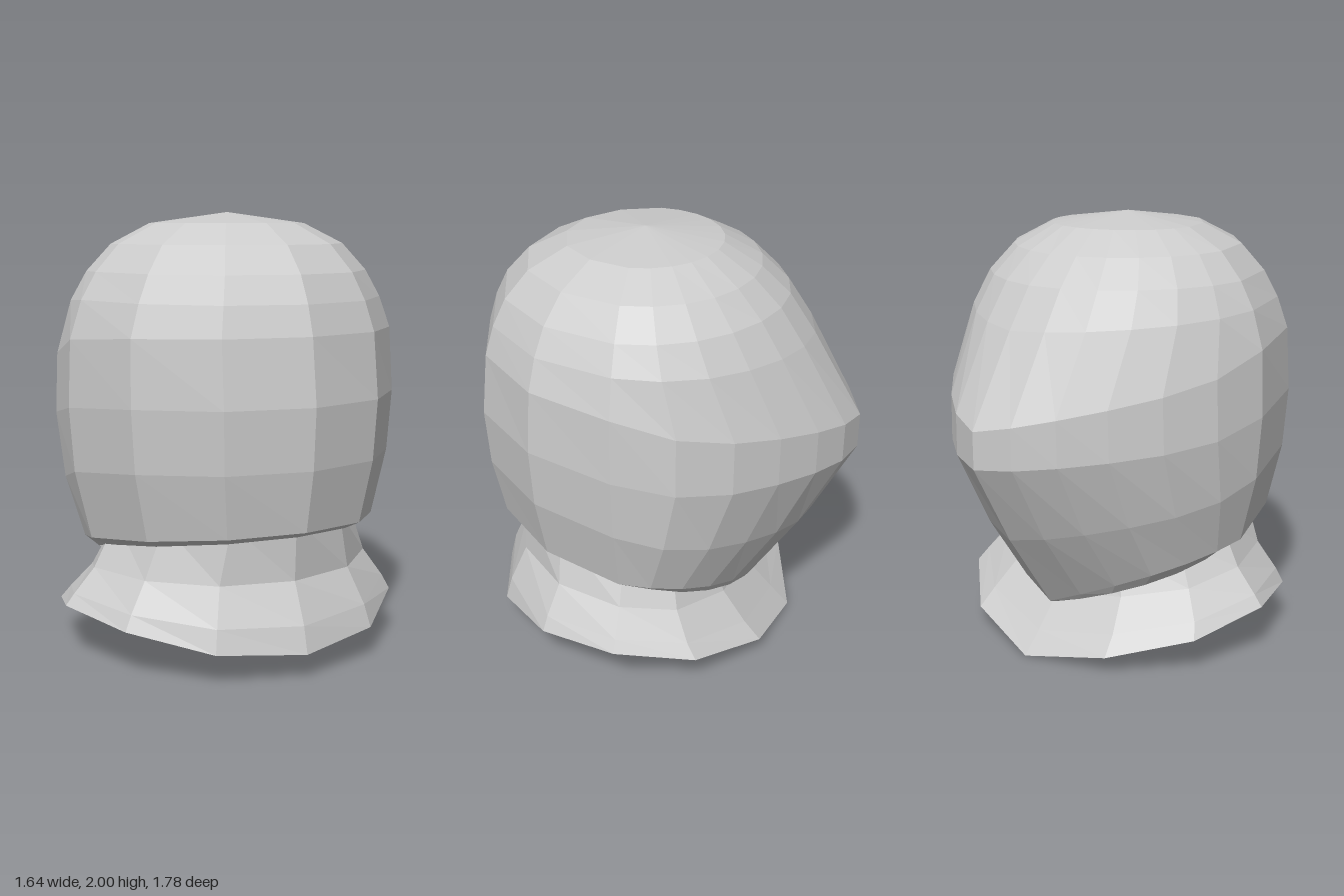
import * as THREE from 'three';

const CZ = 0.11; // z of the vertical axis
const lerp = THREE.MathUtils.lerp;

// Half outlines as [x fraction, z fraction], from front to back
const FRONT = [[0, 1], [0.48, 0.87], [0.84, 0.5], [1, 0]];
const TEAR = [[0.95, 0.27], [0.81, 0.5], [0.62, 0.68], [0.42, 0.83], [0.22, 0.94], [0, 1]];
const arc = (n) => Array.from({ length: n }, (_, i) => {
  const a = ((i + 1) / n) * Math.PI / 2;
  return [i === n - 1 ? 0 : Math.cos(a), Math.sin(a)];
});

// One closed ring; y = [front, side, back], w/f/b = half width, front and back reach,
// tear = blend from round to teardrop back, q/p = how the height runs to front and back
function ring({ y, w, f, b, tear = 0, q = 1, p = 1 }, backCount) {
  const half = FRONT.map(([x, z]) => [x * w, lerp(y[1], y[0], Math.pow(z, q)), CZ + z * f]);
  arc(backCount).forEach(([rx, rz], i) => {
    const t = tear ? TEAR[i] : [rx, rz];
    const x = lerp(rx, t[0], tear), z = lerp(rz, t[1], tear);
    half.push([x * w, lerp(y[1], y[2], Math.pow((i + 1) / backCount, p)), CZ - z * b]);
  });
  const mirrored = half.slice(1, -1).reverse().map(([x, yy, z]) => [-x, yy, z]);
  return half.concat(mirrored);
}

// Skins rings from top to bottom, with optional fan points at the ends
function skin(rings, top, bottom) {
  const n = rings[0].length, pos = rings.flat(2), idx = [];
  for (let r = 0; r < rings.length - 1; r++) {
    for (let i = 0; i < n; i++) {
      const j = (i + 1) % n, a = r * n + i, b = r * n + j;
      idx.push(a, a + n, b + n, a, b + n, b);
    }
  }
  const fan = (point, start, flip) => {
    const c = pos.length / 3;
    pos.push(...point);
    for (let i = 0; i < n; i++) {
      const a = start + i, b = start + (i + 1) % n;
      idx.push(c, flip ? b : a, flip ? a : b);
    }
  };
  if (top) fan(top, 0, false);
  if (bottom) fan(bottom, (rings.length - 1) * n, true);
  const g = new THREE.BufferGeometry();
  g.setAttribute('position', new THREE.Float32BufferAttribute(pos, 3));
  g.setIndex(idx);
  const flat = g.toNonIndexed();
  flat.computeVertexNormals();
  return flat;
}

export function createModel() {
  const group = new THREE.Group();
  group.name = 'helmet';
  const steel = new THREE.MeshStandardMaterial({ color: 0xcccccc });
  steel.name = 'pale steel';
  steel.flatShading = true;
  steel.side = THREE.DoubleSide;

  // Domed shell drawn out to a point at the back, ending in an inward rim
  const shellRings = [
    { y: [1.95, 1.95, 1.95], w: 0.36, f: 0.36, b: 0.35 },
    { y: [1.86, 1.86, 1.85], w: 0.54, f: 0.54, b: 0.52 },
    { y: [1.74, 1.74, 1.73], w: 0.65, f: 0.65, b: 0.65, tear: 0.15 },
    { y: [1.62, 1.62, 1.55], w: 0.72, f: 0.71, b: 0.77, tear: 0.4 },
    { y: [1.49, 1.45, 1.15], w: 0.775, f: 0.75, b: 1.0, tear: 1, q: 0.5, p: 0.7 },
    { y: [1.2, 1.15, 0.98], w: 0.787, f: 0.785, b: 1.0, tear: 1, q: 0.5, p: 0.6 },
    { y: [0.93, 0.86, 0.6], w: 0.765, f: 0.77, b: 0.8, tear: 0.8, q: 0.6, p: 0.8 },
    { y: [0.655, 0.55, 0.22], w: 0.69, f: 0.72, b: 0.55, tear: 0.1, p: 1.5 },
    { y: [0.62, 0.51, 0.21], w: 0.62, f: 0.65, b: 0.53, tear: 0.1, p: 1.1 },
  ].map((r) => ring(r, 6));
  const shell = new THREE.Mesh(skin(shellRings, [0, 2, CZ]), steel);
  shell.name = 'shell';

  // Flared neck guard with a closed underside
  const collarRings = [
    { y: [0.69, 0.62, 0.4], w: 0.57, f: 0.64, b: 0.42 },
    { y: [0.42, 0.41, 0.25], w: 0.68, f: 0.63, b: 0.5 },
    { y: [0.24, 0.3, 0.1], w: 0.78, f: 0.71, b: 0.63, q: 2, p: 1.1 },
    { y: [0.12, 0.25, 0], w: 0.82, f: 0.74, b: 0.72, q: 2, p: 1.1 },
  ].map((r) => ring(r, 3));
  const collar = new THREE.Mesh(skin(collarRings, null, [0, 0.21, CZ]), steel);
  collar.name = 'neckGuard';

  group.add(shell, collar);
  return group;
}
